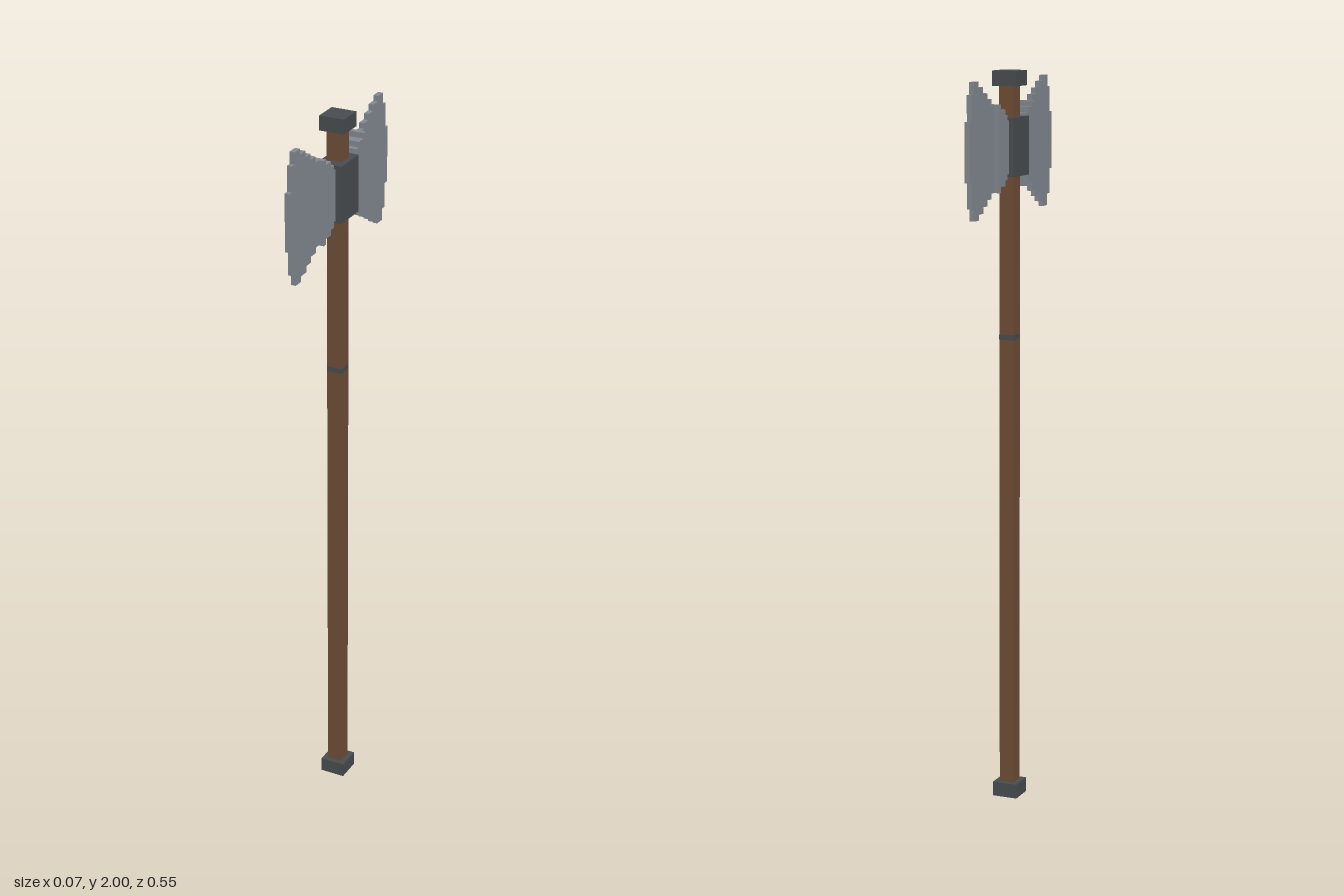
import * as THREE from 'three';

export function createModel() {
  const group = new THREE.Group();
  const wood = new THREE.MeshStandardMaterial({ color: 0x704f37 });
  wood.name = 'brown wood';
  const iron = new THREE.MeshStandardMaterial({ color: 0x494e52 });
  iron.name = 'dark iron';
  const steel = new THREE.MeshStandardMaterial({ color: 0x858a93 });
  steel.name = 'grey steel';

  function box(name, material, w, h, d, y, z = 0, parent = group) {
    const mesh = new THREE.Mesh(new THREE.BoxGeometry(w, h, d), material);
    mesh.name = name;
    mesh.position.set(0, y, z);
    parent.add(mesh);
  }

  // Shaft with square end caps and a thin band
  box('handle', wood, 0.042, 1.92, 0.042, 1);
  box('pommel', iron, 0.07, 0.04, 0.07, 0.02);
  box('topCap', iron, 0.07, 0.04, 0.07, 1.98);
  box('handleBand', iron, 0.043, 0.014, 0.043, 1.29);

  // Collar that holds both blades
  const headY = 1.801;
  box('collar', iron, 0.07, 0.156, 0.098, headY);

  // Stepped blade slices: inner z, outer z, half height, thickness
  const slices = [
    [0.045, 0.054, 0.058, 0.03],
    [0.054, 0.063, 0.07, 0.042],
    [0.063, 0.078, 0.085, 0.042],
    [0.078, 0.106, 0.1, 0.042],
    [0.106, 0.12, 0.115, 0.042],
    [0.12, 0.135, 0.115, 0.014],
    [0.135, 0.162, 0.13, 0.014],
    [0.162, 0.189, 0.146, 0.014],
    [0.189, 0.217, 0.163, 0.014],
    [0.217, 0.246, 0.178, 0.014],
    [0.246, 0.261, 0.146, 0.014],
    [0.261, 0.275, 0.078, 0.014],
  ];
  // The third-from-last slice carries the blade's tallest points
  for (const side of [1, -1]) {
    const blade = new THREE.Group();
    blade.name = side > 0 ? 'frontBlade' : 'backBlade';
    slices.forEach(([z0, z1, half, thick]) =>
      box('bladeSlice', steel, thick, half * 2, z1 - z0, headY, (side * (z0 + z1)) / 2, blade));
    group.add(blade);
  }
  return group;
}
